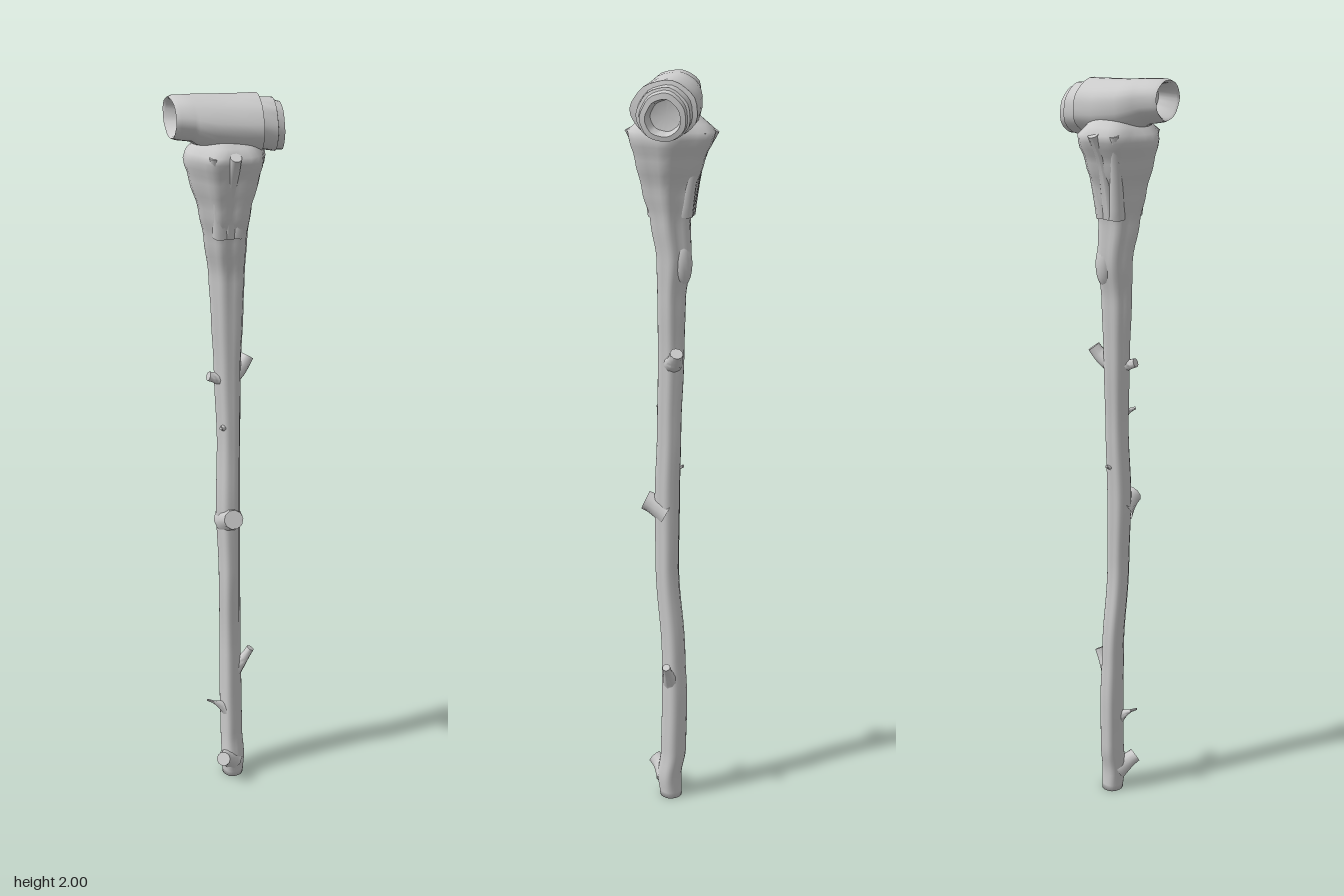
import * as THREE from 'three';
import { toCreasedNormals } from 'three/addons/utils/BufferGeometryUtils.js';

const material = new THREE.MeshStandardMaterial({ color: 0xcccccc, side: THREE.DoubleSide });

// Skin over closed rings; ringPoint(i, angle) returns [x, y, z].
function loft(rings, sides, ringPoint) {
  const pos = [], idx = [];
  for (let i = 0; i < rings; i++)
    for (let j = 0; j < sides; j++) pos.push(...ringPoint(i, (j / sides) * Math.PI * 2));
  for (let i = 0; i < rings - 1; i++)
    for (let j = 0; j < sides; j++) {
      const a = i * sides + j, b = i * sides + ((j + 1) % sides);
      idx.push(a, a + sides, b, b, a + sides, b + sides);
    }
  const g = new THREE.BufferGeometry();
  g.setAttribute('position', new THREE.Float32BufferAttribute(pos, 3));
  g.setIndex(idx);
  g.computeVertexNormals();
  return g;
}

// Blend linearly between table rows whose first column is the key.
function sample(table, y) {
  let k = 0;
  while (k < table.length - 2 && y > table[k + 1][0]) k++;
  const a = table[k], b = table[k + 1];
  const t = THREE.MathUtils.smootherstep(y, a[0], b[0]) * 0.5 + THREE.MathUtils.clamp((y - a[0]) / (b[0] - a[0]), 0, 1) * 0.5;
  return a.map((v, n) => v + (b[n] - v) * t);
}

// Shaft rows: y, centre x, centre z, radius x, radius z, ridge depth
const SHAFT = [
  [0, 0.023, -0.002, 0.030, 0.031, 0.02],
  [0.06, 0.022, 0.003, 0.033, 0.034, 0.05],
  [0.14, 0.020, -0.008, 0.031, 0.036, 0.06],
  [0.30, 0.018, -0.011, 0.031, 0.036, 0.06],
  [0.45, 0.016, -0.008, 0.029, 0.033, 0.06],
  [0.70, 0.010, 0.010, 0.029, 0.032, 0.07],
  [0.90, 0.006, 0.010, 0.032, 0.034, 0.07],
  [1.10, 0.009, 0.004, 0.030, 0.032, 0.08],
  [1.30, 0.007, -0.001, 0.034, 0.034, 0.08],
  [1.45, 0.007, -0.002, 0.040, 0.036, 0.09],
  [1.55, 0.007, -0.008, 0.044, 0.044, 0.10],
  [1.65, 0.002, 0.002, 0.052, 0.050, 0.11],
  [1.72, 0.000, 0.006, 0.062, 0.066, 0.12],
  [1.80, 0.000, 0.003, 0.083, 0.086, 0.11],
  [1.845, 0.000, 0.000, 0.096, 0.104, 0.09],
  [1.865, 0.000, 0.000, 0.092, 0.110, 0.08],
  [1.875, 0.000, 0.000, 0.080, 0.096, 0.06],
  [1.90, 0.000, 0.000, 0.065, 0.068, 0.03],
];

function shaftGeometry() {
  const n = 110;
  return loft(n + 2, 32, (i, a) => {
    const y = i === 0 ? 0 : ((i - 1) / n) * 1.9;
    const [, cx, cz, rx, rz, ridge] = sample(SHAFT, y);
    const twist = y < 1.6 ? y * 2.5 : 4;
    const k = i === 0 ? 0 : 1 + ridge * (0.6 * Math.cos(6 * a + 0.4) + 0.5 * Math.cos(3 * a + twist));
    return [cx + rx * k * Math.cos(a), y, cz + rz * k * Math.sin(a)];
  });
}

// Head rows: x, centre y, centre z, radius y, radius z, lean of the ring in x per z
const HEAD = [
  [-0.075, 1.947, 0.008, 0.000, 0.000, 0.08],
  [-0.085, 1.947, 0.008, 0.033, 0.040, 0.08],
  [-0.131, 1.946, 0.010, 0.042, 0.050, 0.08],
  [-0.136, 1.946, 0.010, 0.047, 0.056, 0.08],
  [-0.125, 1.946, 0.011, 0.051, 0.062, 0.08],
  [-0.090, 1.942, 0.010, 0.053, 0.062, 0.05],
  [-0.078, 1.938, 0.008, 0.057, 0.069, 0],
  [-0.035, 1.928, 0.005, 0.063, 0.078, 0],
  [0.030, 1.922, 0.005, 0.066, 0.083, 0],
  [0.078, 1.920, 0.004, 0.067, 0.083, -0.06],
  [0.081, 1.917, 0.001, 0.060, 0.068, -0.06],
  [0.116, 1.912, -0.001, 0.062, 0.066, -0.06],
  [0.118, 1.910, -0.002, 0.058, 0.059, -0.06],
  [0.134, 1.907, -0.003, 0.056, 0.056, -0.05],
  [0.136, 1.906, -0.003, 0.043, 0.043, -0.05],
  [0.100, 1.908, -0.003, 0.036, 0.036, 0],
  [0.092, 1.908, -0.003, 0.000, 0.000, 0],
];

function headGeometry() {
  const g = loft(HEAD.length, 28, (i, a) => {
    const [x, cy, cz, ry, rz, lean] = HEAD[i];
    const k = 1 + 0.025 * Math.cos(3 * a + 10 * x) + 0.015 * Math.cos(7 * a);
    const z = cz + rz * k * Math.cos(a);
    return [x + lean * z, cy + ry * k * Math.sin(a), z];
  });
  return toCreasedNormals(g, 0.7);
}

// Tapered, bent twig with a blunt end
function twigGeometry(base, bend, tip, r0, r1) {
  const n = 8, sides = 10;
  const curve = new THREE.QuadraticBezierCurve3(...[base, bend, tip].map((p) => new THREE.Vector3(...p)));
  const g = new THREE.TubeGeometry(curve, n, 1, sides);
  const p = g.attributes.position, v = new THREE.Vector3();
  for (let k = 0; k < p.count; k++) {
    const i = Math.floor(k / (sides + 1)), t = i / n;
    const r = i === n ? 0 : r1 + (r0 - r1) * (1 - i / (n - 1)) ** 1.6;
    const c = curve.getPointAt(t);
    v.fromBufferAttribute(p, k).sub(c).multiplyScalar(r);
    v.add(i >= n - 1 ? curve.getPointAt(1) : c);
    p.setXYZ(k, v.x, v.y, v.z);
  }
  g.computeVertexNormals();
  return toCreasedNormals(g, 0.9);
}

// name, base, bend, tip, base radius, tip radius
const TWIGS = [
  ['lowerTwig', [0.02, 0.36, -0.005], [0.052, 0.39, 0], [0.073, 0.43, 0.002], 0.03, 0.011],
  ['lowerThorn', [0.01, 0.23, 0], [-0.02, 0.255, 0.005], [-0.054, 0.275, 0.008], 0.025, 0.003],
  ['footKnot', [0.015, 0.06, 0.01], [-0.005, 0.075, 0.03], [-0.018, 0.09, 0.053], 0.036, 0.02],
  ['middleKnot', [0.006, 0.865, 0.01], [0.006, 0.88, 0.04], [0.006, 0.893, 0.07], 0.04, 0.026],
  ['upperLeftStub', [0.015, 1.28, -0.005], [0.045, 1.285, -0.015], [0.064, 1.318, -0.024], 0.03, 0.017],
  ['upperRightStub', [0, 1.27, 0], [-0.02, 1.275, 0.005], [-0.046, 1.285, 0.008], 0.026, 0.012],
  ['frontThorn', [-0.005, 1.14, 0.015], [-0.012, 1.145, 0.03], [-0.022, 1.15, 0.042], 0.014, 0.004],
  ['backThorn', [0.01, 0.99, -0.01], [0.014, 0.993, -0.02], [0.018, 1.0, -0.034], 0.014, 0.004],
];

export function createModel() {
  const staff = new THREE.Group();
  staff.name = 'gnarledStaff';
  const add = (name, geometry) => {
    const mesh = new THREE.Mesh(geometry, material);
    mesh.name = name;
    staff.add(mesh);
    return mesh;
  };

  add('shaft', shaftGeometry());
  add('hollowHead', headGeometry());
  for (const [name, ...shape] of TWIGS) add(name, twigGeometry(...shape));

  // Swollen burl on the back of the upper shaft
  const burl = add('burl', new THREE.SphereGeometry(1, 16, 12));
  burl.scale.set(0.026, 0.06, 0.026);
  burl.position.set(0.02, 1.54, -0.03);

  // Root ridges climbing the flare and curling out under the head
  for (const side of [1, -1])
    for (const x of [-0.045, 0, 0.045]) {
      const reach = 0.105 - Math.abs(x) * 0.45;
      add('rootRidge', twigGeometry([x * 0.4, 1.66, side * 0.035], [x * 0.8, 1.81, side * 0.06], [x, 1.868, side * reach], 0.022, 0.014));
    }
  return staff;
}
